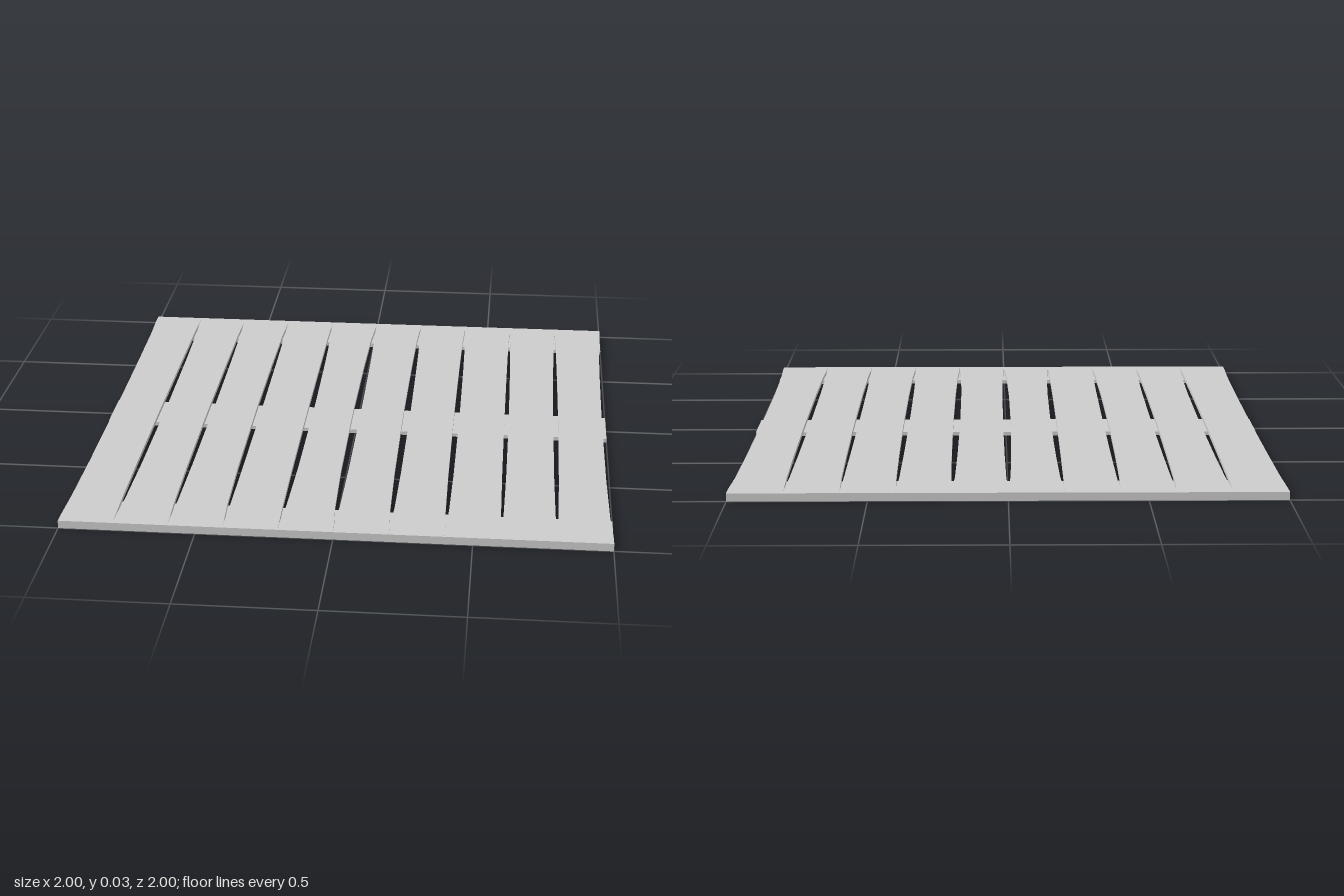
import * as THREE from 'three';

const THICK = 0.015;   // planks and battens share one thickness
const WIDTH = 0.2;

// How far each plank's [left, right] edge is worn in at mid-length
const WEAR = [
  [0.01, 0.006], [0.015, 0.01], [0.01, 0.015], [0.006, 0.006], [0.018, 0.02],
  [0.011, 0.015], [0.012, 0.01], [0.012, 0.006], [0.011, 0.01], [0.01, 0.015],
];
// Share of the wear along the plank: [z, amount]
const PROFILE = [
  [-1, 0], [-0.95, 0.03], [-0.8, 0.5], [-0.5, 0.8], [-0.1, 1],
  [0.1, 1], [0.5, 0.9], [0.8, 0.55], [0.95, 0.05], [1, 0],
];

export function createModel() {
  const group = new THREE.Group();
  const material = new THREE.MeshStandardMaterial({ color: 0xcccccc, flatShading: true });

  const add = (name, geometry) => {
    const mesh = new THREE.Mesh(geometry, material);
    mesh.name = name;
    group.add(mesh);
    return mesh;
  };

  // Ten planks running front to back, narrowed unevenly along their edges
  WEAR.forEach(([left, right], i) => {
    const x0 = -1 + i * WIDTH;
    const x1 = x0 + WIDTH;
    const outline = [
      ...PROFILE.map(([z, k]) => new THREE.Vector2(x1 - right * k, z)),
      ...PROFILE.map(([z, k]) => new THREE.Vector2(x0 + left * k, z)).reverse(),
    ];
    const geometry = new THREE.ExtrudeGeometry(new THREE.Shape(outline), { depth: THICK, bevelEnabled: false });
    geometry.rotateX(Math.PI / 2);
    geometry.translate(0, 2 * THICK, 0);
    add(`plank${i + 1}`, geometry);
  });

  // Three cross battens underneath
  for (const [name, z] of [['backBatten', -0.9], ['middleBatten', 0], ['frontBatten', 0.9]]) {
    add(name, new THREE.BoxGeometry(2, THICK, 0.2)).position.set(0, THICK / 2, z);
  }

  return group;
}
